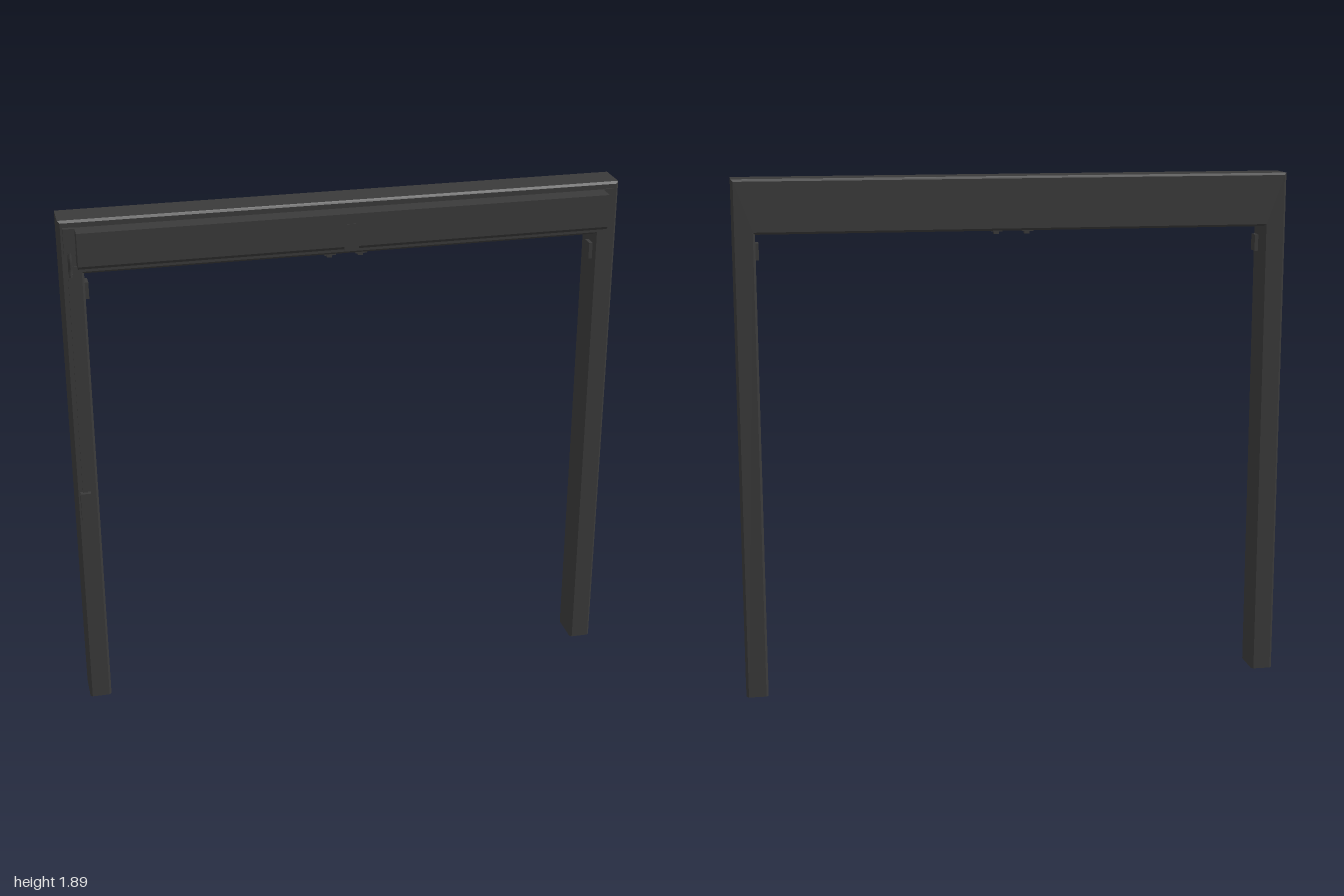
import * as THREE from 'three';

export function createModel() {
  const model = new THREE.Group();
  const dark = new THREE.MeshStandardMaterial({ color: 0x3a3a3a, flatShading: true });

  const add = (name, geometry) => {
    const mesh = new THREE.Mesh(geometry, dark);
    mesh.name = name;
    model.add(mesh);
    return mesh;
  };
  // box given by its limits on each axis
  const box = (name, x0, x1, y0, y1, z0, z1) =>
    add(name, new THREE.BoxGeometry(x1 - x0, y1 - y0, z1 - z0))
      .position.set((x0 + x1) / 2, (y0 + y1) / 2, (z0 + z1) / 2);
  const polygon = (pts) => new THREE.Shape(pts.map(([x, y]) => new THREE.Vector2(x, y)));

  // door frame: two posts and a header in one piece, chamfered edges, flat feet
  const c = 0.008;
  const frame = new THREE.ExtrudeGeometry(
    polygon([[-1, 0], [-0.92, 0], [-0.92, 1.697], [0.92, 1.697], [0.92, 0], [1, 0], [1, 1.89], [-1, 1.89]]),
    { depth: 0.13 - 2 * c, bevelSize: c, bevelThickness: c, bevelOffset: -c, bevelSegments: 1 });
  const pos = frame.attributes.position;
  for (let i = 0; i < pos.count; i++) if (pos.getY(i) < 0.05) pos.setY(i, 0);
  frame.translate(0, 0, -0.1 + c);
  frame.computeVertexNormals();
  add('doorFrame', frame);

  // operator housing: profile in z and y, run along x, chamfered lower front edge
  const housing = new THREE.ExtrudeGeometry(
    polygon([[0.034, 1.735], [0.088, 1.735], [0.102, 1.748], [0.102, 1.866], [0.034, 1.866]]),
    { depth: 1.885, bevelEnabled: false });
  housing.rotateY(-Math.PI / 2);
  // after the turn: profile z stays, run goes to -x
  housing.translate(0.94, 0, 0);
  add('operatorHousing', housing);

  // back plate, end plates and lower rail of the operator
  box('backPlate', -0.945, 0.94, 1.745, 1.855, 0.028, 0.036);
  box('rightEndPlate', -0.985, -0.945, 1.775, 1.866, 0.028, 0.046);
  box('leftEndPlate', 0.94, 0.98, 1.73, 1.866, 0.028, 0.035);
  box('lowerRail', -0.96, 0.96, 1.715, 1.728, 0.028, 0.034);

  // sensor on the middle of the housing
  box('sensorCover', -0.028, 0.028, 1.77, 1.83, 0.095, 0.104);
  box('sensorFoot', -0.026, 0.026, 1.735, 1.77, 0.085, 0.103);

  // small catches under the header and guides inside the posts
  for (const s of [-1, 1]) {
    const x = s * 0.056;
    box('catchPlate', x - 0.021, x + 0.021, 1.688, 1.698, -0.03, 0.01);
    box('catchPin', x - 0.009, x + 0.009, 1.677, 1.69, -0.02, 0);
    const [a, b] = s > 0 ? [0.907, 0.922] : [-0.922, -0.907];
    box('postGuide', a, b, 1.6, 1.66, -0.03, 0.015);
  }

  // cable channel down the right post to the control box, with a bent cable on top
  box('cableChannel', -0.976, -0.959, 0.86, 1.7, 0.028, 0.037);
  const bend = new THREE.CatmullRomCurve3([
    new THREE.Vector3(-0.967, 1.69, 0.033), new THREE.Vector3(-0.967, 1.72, 0.034),
    new THREE.Vector3(-0.967, 1.75, 0.042), new THREE.Vector3(-0.967, 1.78, 0.042)]);
  add('cableBend', new THREE.TubeGeometry(bend, 12, 0.007, 8));
  box('controlBox', -0.986, -0.948, 0.758, 0.87, 0.028, 0.05);

  return model;
}
